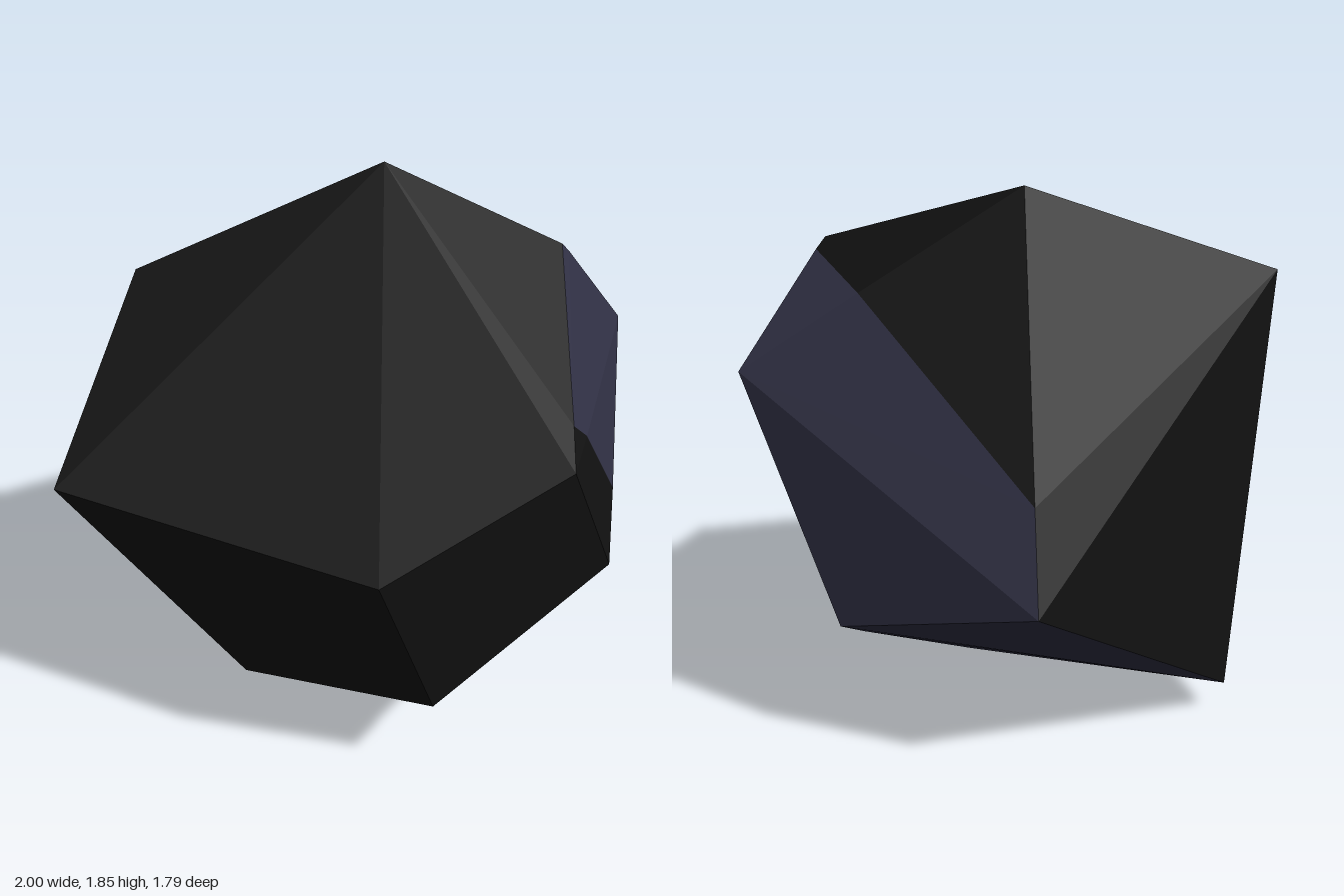
import * as THREE from 'three';
import { ConvexGeometry } from 'three/addons/geometries/ConvexGeometry.js';

// Corners of the faceted rock
const corners = {
  peak: [0.12, 1.85, -0.475],
  rightShoulder: [-1, 1.09, 0.41],
  rightTop: [-0.77, 1.535, -0.3],
  leftTip: [1, 1.285, -0.345],
  leftFront: [0.845, 0.74, 0.45],
  foot: [0.245, 0.005, 0.065],
  backFoot: [-0.58, 0.115, -0.53],
  back: [0.155, 0.625, -0.895],
  nose: [0.02, 1.04, 0.897],
  frontTop: [0.62, 1.29, 0.69],
  leftLow: [0.735, 0.47, -0.53],
  leftTop: [0.71, 1.665, -0.15],
  frontLow: [0.22, 0.385, 0.74],
  rightFoot: [-0.435, 0.155, 0.3],
};

// Points where the edge of the coloured seam crosses the rock's edges
const crossings = {
  seamBack: ['peak', 'back', 0.74],
  seamPeak: ['peak', 'leftTip', 0.57],
  seamTop: ['leftTop', 'leftTip', 0.1],
  seamFront: ['leftTop', 'frontTop', 0.815],
  seamRidge: ['frontTop', 'leftTip', 0.2],
  seamSide: ['leftTip', 'leftFront', 0.71],
  seamLow: ['leftFront', 'leftLow', 0.663],
  seamFoot: ['foot', 'leftLow', 0.839],
};

// Corners that lie on the seam
const seamCorners = new Set([
  'leftTop', 'leftTip', 'leftLow', 'foot', 'backFoot', 'back', ...Object.keys(crossings),
]);

function isSeam(names) {
  if (!names.every((n) => seamCorners.has(n))) return false;
  // the facet below the seam's lower edge stays dark
  return !(names.includes('seamFoot') && names.includes('seamLow') && !names.includes('leftLow'));
}

function facetMesh(name, positions, material) {
  const geometry = new THREE.BufferGeometry();
  geometry.setAttribute('position', new THREE.Float32BufferAttribute(positions, 3));
  geometry.computeVertexNormals();
  const mesh = new THREE.Mesh(geometry, material);
  mesh.name = name;
  return mesh;
}

export function createModel() {
  const darkStone = new THREE.MeshStandardMaterial({ color: 0x111111 });
  darkStone.name = 'dark stone';
  const violetStone = new THREE.MeshStandardMaterial({ color: 0x303044 });
  violetStone.name = 'violet stone';

  const points = {};
  for (const [name, p] of Object.entries(corners)) points[name] = new THREE.Vector3(...p);

  // Crossings are lifted a hair so that they become corners of the hull
  const centre = new THREE.Vector3(0, 0.9, 0);
  for (const [name, [a, b, t]] of Object.entries(crossings)) {
    const p = points[a].clone().lerp(points[b], t);
    points[name] = p.addScaledVector(p.clone().sub(centre).normalize(), 0.003);
  }

  // Sort the hull's facets into body and seam
  const entries = Object.entries(points);
  const hull = new ConvexGeometry(Object.values(points)).getAttribute('position');
  const body = [];
  const seam = [];
  const v = new THREE.Vector3();
  for (let i = 0; i < hull.count; i += 3) {
    const names = [];
    const facet = [];
    for (let k = 0; k < 3; k++) {
      v.fromBufferAttribute(hull, i + k);
      names.push(entries.find(([, p]) => p.distanceTo(v) < 1e-4)[0]);
      facet.push(v.x, v.y, v.z);
    }
    (isSeam(names) ? seam : body).push(...facet);
  }

  const group = new THREE.Group();
  group.name = 'rock';
  group.add(facetMesh('rockBody', body, darkStone), facetMesh('mineralSeam', seam, violetStone));
  return group;
}
